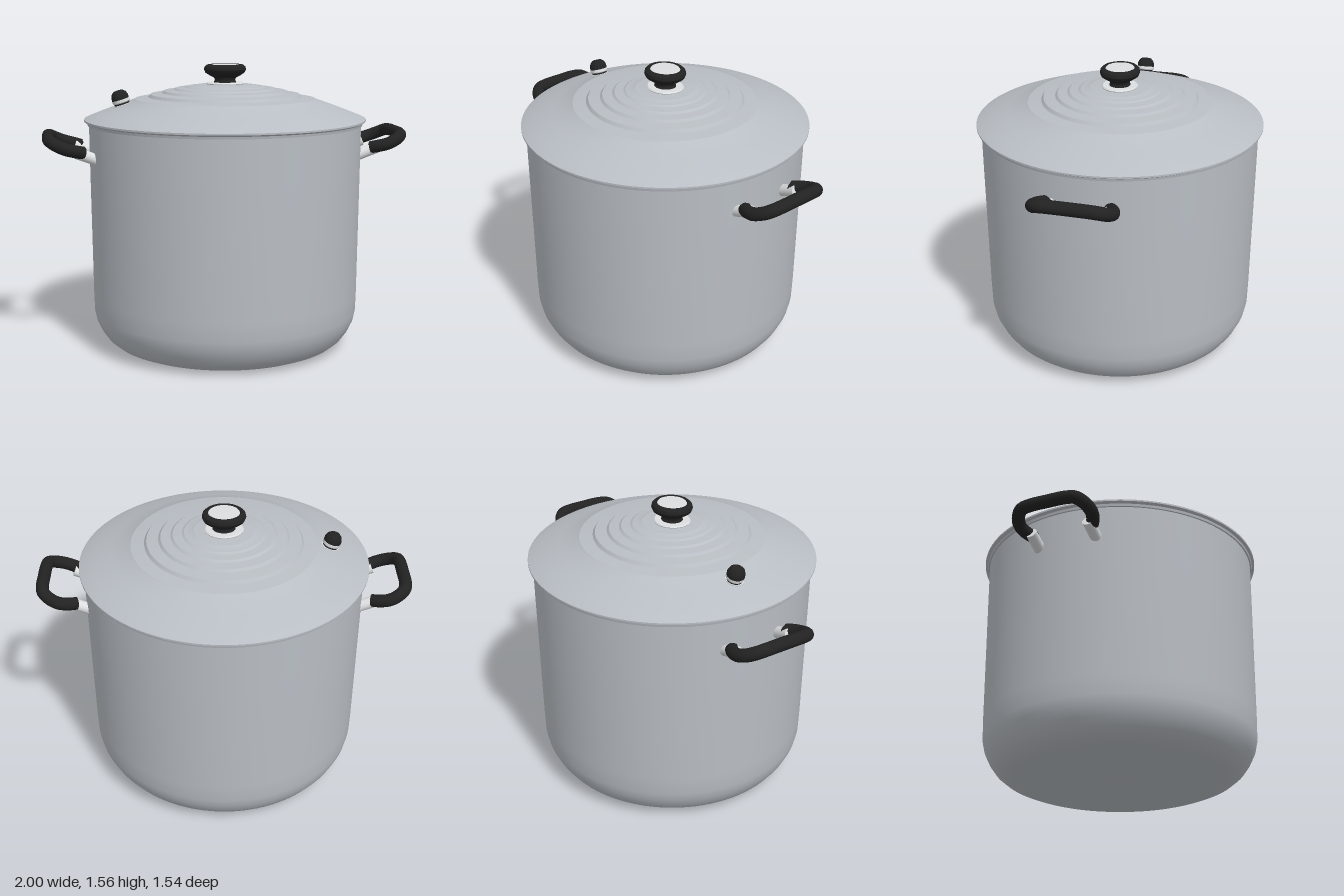
import * as THREE from 'three';
import { toCreasedNormals } from 'three/addons/utils/BufferGeometryUtils.js';

const V = (x, y, z) => new THREE.Vector3(x, y, z);

export function createModel() {
  const mat = (name, color) => {
    const m = new THREE.MeshStandardMaterial({ color });
    m.name = name;
    return m;
  };
  const steel = mat('brushed steel', 0xb9bec4);
  const bright = mat('bright steel', 0xdcdedf);
  const black = mat('black plastic', 0x222222);

  const add = (parent, name, geometry, material) => {
    const mesh = new THREE.Mesh(geometry, material);
    mesh.name = name;
    parent.add(mesh);
    return mesh;
  };
  // Revolved profile, listed from bottom to top along the outside
  const lathe = (points, segments = 48, crease = 0.6) => toCreasedNormals(
    new THREE.LatheGeometry(points.map(([r, y]) => new THREE.Vector2(r, y)), segments), crease);

  const group = new THREE.Group();
  group.name = 'stockPot';

  // Pot body with a rounded base
  add(group, 'potBody', lathe([
    [0, 0], [0.54, 0], [0.585, 0.006], [0.63, 0.025], [0.67, 0.058], [0.70, 0.1],
    [0.724, 0.15], [0.735, 0.2], [0.738, 0.3], [0.745, 1.0], [0.747, 1.24],
  ], 96), steel);

  // Lid: rolled rim, sloping skirt, then shallow stepped rings
  const lidProfile = [[0.74, 1.236], [0.755, 1.237], [0.758, 1.25], [0.772, 1.258], [0.772, 1.267], [0.765, 1.271],
    [0.70, 1.297], [0.60, 1.335], [0.505, 1.368]];
  const rings = [[0.495, 1.375], [0.41, 1.399], [0.335, 1.418], [0.27, 1.432], [0.21, 1.442], [0.16, 1.449]];
  rings.forEach(([r, y], i) => {
    const next = rings[i + 1] || [0.1, 1.454];
    lidProfile.push([r, y], [next[0] + 0.012, y + (next[1] - y) * 0.35]);
  });
  lidProfile.push([0.1, 1.452], [0, 1.452]);
  add(group, 'lid', lathe(lidProfile, 96, 0.3), steel);

  // Knob, slightly wider across than deep
  const knob = new THREE.Group();
  knob.name = 'lidKnob';
  knob.scale.z = 0.92;
  group.add(knob);
  add(knob, 'knobWasher', lathe([[0.1, 1.448], [0.104, 1.456], [0.098, 1.462], [0, 1.462]]), bright);
  add(knob, 'knobGrip', lathe([
    [0.062, 1.46], [0.056, 1.475], [0.06, 1.487], [0.085, 1.5], [0.108, 1.515], [0.116, 1.532],
    [0.112, 1.548], [0.1, 1.558], [0.088, 1.56], [0.083, 1.554], [0, 1.554],
  ]), black);
  add(knob, 'knobCap', lathe([[0.084, 1.553], [0.08, 1.558], [0, 1.56]]), bright);

  // Steam valve, standing square to the slope of the lid
  const valve = new THREE.Group();
  valve.name = 'steamValve';
  valve.position.set(-0.562, 1.338, 0);
  valve.rotation.z = 0.3;
  group.add(valve);
  add(valve, 'valveBase', lathe([[0.046, -0.012], [0.048, 0.012], [0, 0.012]], 32), bright);
  add(valve, 'valveSeal', lathe([[0.042, 0.01], [0.042, 0.022], [0, 0.022]], 32), black);
  add(valve, 'valveCollar', lathe([[0.044, 0.02], [0.048, 0.025], [0.048, 0.04], [0, 0.04]], 32), bright);
  add(valve, 'valveCap', lathe([[0.047, 0.039], [0.047, 0.055], [0.04, 0.074], [0.026, 0.087], [0, 0.09]], 32), black);

  // Side handles: black grip bent between two steel stubs
  const half = [[0.785, 1.108, 0.168], [0.825, 1.118, 0.189], [0.875, 1.131, 0.198], [0.925, 1.151, 0.182],
    [0.957, 1.169, 0.15], [0.966, 1.175, 0.1]];
  const path = [
    ...half.map(([x, y, z]) => V(x, y, z)),
    V(0.967, 1.176, 0),
    ...half.slice().reverse().map(([x, y, z]) => V(x, y, -z)),
  ];
  const gripGeometry = new THREE.TubeGeometry(new THREE.CatmullRomCurve3(path), 64, 0.034, 16);
  const stubGeometry = new THREE.CylinderGeometry(0.031, 0.031, 0.125, 24);
  for (const turn of [0, Math.PI]) {
    const handle = new THREE.Group();
    handle.name = turn ? 'rightHandle' : 'leftHandle';
    handle.rotation.y = turn;
    group.add(handle);
    add(handle, 'handleGrip', gripGeometry, black);
    for (const s of [1, -1]) {
      const stub = add(handle, 'handleStub', stubGeometry, bright);
      stub.position.set(0.765, 1.086, s * 0.16);
      stub.rotation.z = -1.22;
      // Rounded end of the grip
      const end = add(handle, 'gripEnd', new THREE.SphereGeometry(0.034, 16, 12), black);
      end.position.set(0.787, 1.109, s * 0.168);
      end.scale.x = 0.4;
    }
  }
  return group;
}
